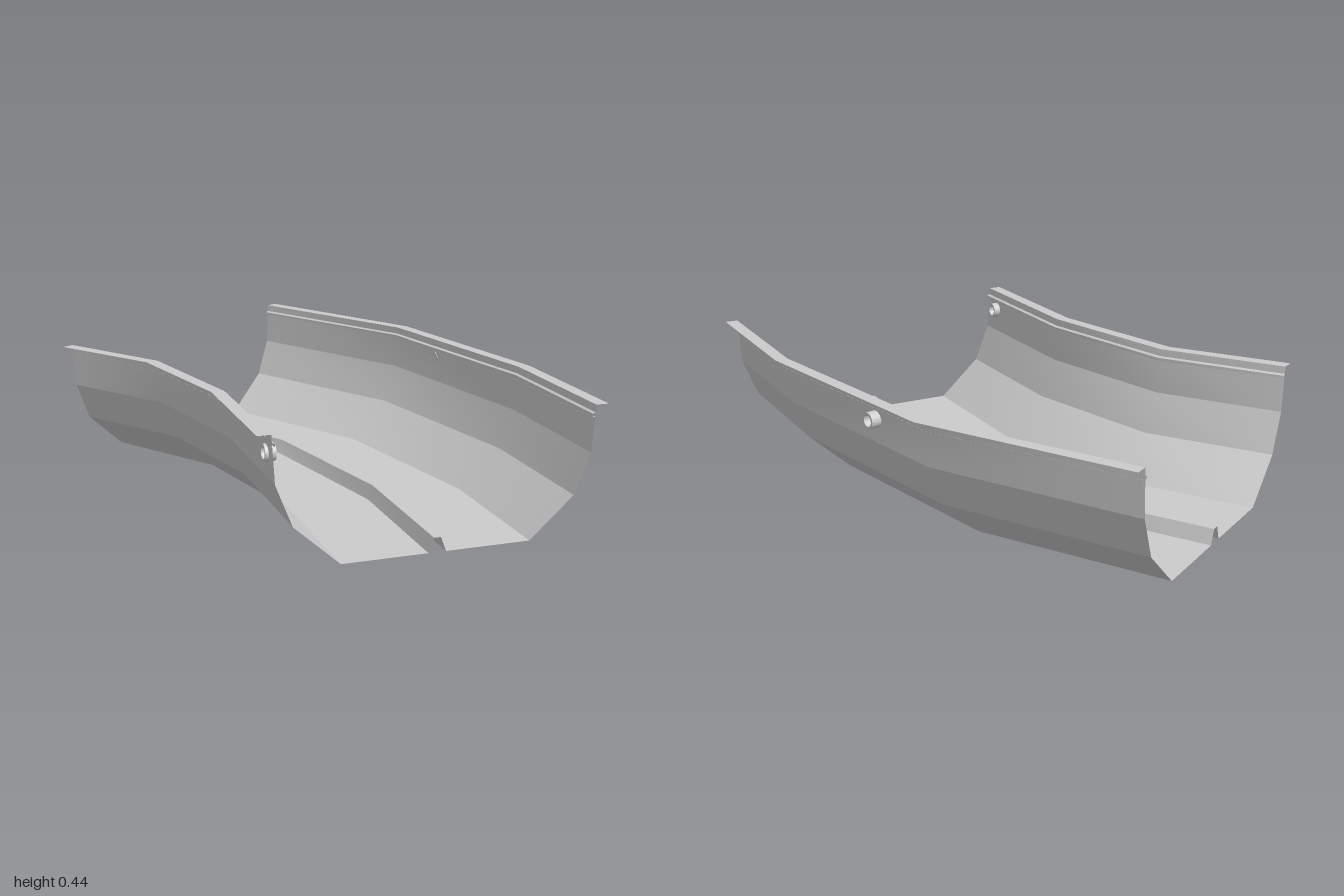
import * as THREE from 'three';

const grey = new THREE.MeshStandardMaterial({ color: 0xcccccc, side: THREE.DoubleSide });

// Bend stations: outer and inner edge of the channel as [x, z]
const stations = [
  [[-1, -0.785], [-1, 0.395]],
  [[-0.252, -0.783], [-0.567, 0.358]],
  [[0.515, -0.523], [-0.07, 0.498]],
  [[0.998, -0.246], [0.405, 0.775]],
].map(([a, b]) => ({
  outer: new THREE.Vector3(a[0], 0, a[1]),
  across: new THREE.Vector3(b[0] - a[0], 0, b[1] - a[1]).normalize(),
}));

const WIDTH = 1.18;
const at = (station, s, y) => station.outer.clone().addScaledVector(station.across, s).setY(y);

// Sweeps a section of [distance from outer edge, height] through the stations;
// creases stay sharp across the section and smooth along the bend
function sweep(name, section) {
  const pos = [], idx = [];
  for (let k = 0; k < section.length - 1; k++) {
    const base = pos.length / 3;
    for (const st of stations) {
      for (const [s, y] of [section[k], section[k + 1]]) pos.push(...at(st, s, y).toArray());
    }
    for (let i = 0; i < stations.length - 1; i++) {
      const a = base + i * 2;
      idx.push(a, a + 1, a + 3, a, a + 3, a + 2);
    }
  }
  const geo = new THREE.BufferGeometry();
  geo.setAttribute('position', new THREE.Float32BufferAttribute(pos, 3));
  geo.setIndex(idx);
  geo.computeVertexNormals();
  const mesh = new THREE.Mesh(geo, grey);
  mesh.name = name;
  return mesh;
}

// Short hollow sleeve standing on a wall and pointing along the given direction
function sleeve(name, base, direction) {
  const corners = [[0.028, -0.003], [0.028, 0.033], [0.02, 0.033], [0.02, -0.003], [0.028, -0.003]];
  const group = new THREE.Group();
  group.name = name;
  for (let i = 0; i < 4; i++) {
    const pts = [corners[i], corners[i + 1]].map(([r, y]) => new THREE.Vector2(r, y));
    group.add(new THREE.Mesh(new THREE.LatheGeometry(pts, 20), grey));
  }
  group.position.copy(base);
  group.quaternion.setFromUnitVectors(new THREE.Vector3(0, 1, 0), direction.normalize());
  return group;
}

export function createModel() {
  const model = new THREE.Group();
  model.name = 'curvedChannel';

  // Walls from the flat lip down to the floor, mirrored for the inner side
  const wall = [[0.045, 0.44], [0.055, 0.28], [0.11, 0.14], [0.265, 0]];
  const lip = [[0, 0.44], [0.045, 0.44]];
  const bead = [[0.046, 0.415], [0.056, 0.41], [0.056, 0.4], [0.047, 0.4]];
  const mirror = (section) => section.map(([s, y]) => [WIDTH - s, y]).reverse();
  for (const [side, f] of [['outer', (p) => p], ['inner', mirror]]) {
    model.add(sweep(side + 'Wall', f(wall)));
    model.add(sweep(side + 'Lip', f(lip)));
    model.add(sweep(side + 'Bead', f(bead)));
  }

  // Floor with a folded ridge running along it
  model.add(sweep('floor', [
    [0.265, 0], [0.56, 0], [0.578, 0.05], [0.602, 0.05], [0.62, 0], [0.915, 0],
  ]));

  // Sleeves through the two walls, both pointing to the rear
  model.add(sleeve('outerSleeve', new THREE.Vector3(-0.01, 0.365, -0.651), new THREE.Vector3(0.32, 0, -0.947)));
  model.add(sleeve('innerSleeve', new THREE.Vector3(0.365, 0.365, 0.704), new THREE.Vector3(0.5, 0, -0.866)));

  return model;
}
